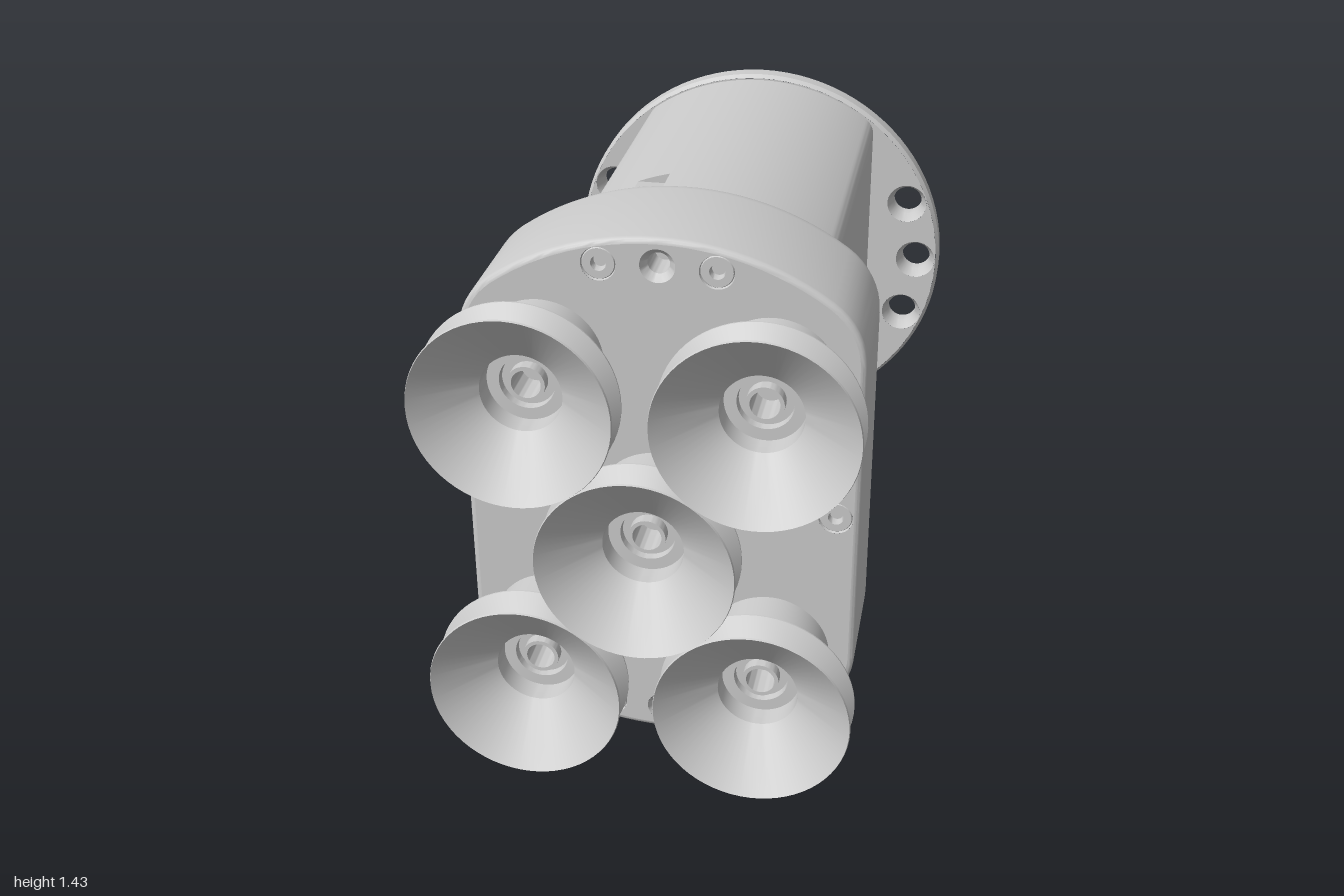
import * as THREE from 'three';
import { toCreasedNormals } from 'three/addons/utils/BufferGeometryUtils.js';

const CY = 0.725;                       // height of the long axis
const R = 0.575, HALF = 0.36, F = 0.06; // body arc radius, half width, corner fillet
const FX = HALF - F, FY = Math.sqrt((R - F) ** 2 - FX ** 2), PT = Math.atan2(FY, FX);
// angular limits of the connector recess on top
const A1 = Math.PI / 2 + Math.asin(0.13 / R), A2 = Math.PI / 2 + Math.asin(0.22 / R);

const grey = new THREE.MeshStandardMaterial({ color: 0xcccccc });
const greyDouble = new THREE.MeshStandardMaterial({ color: 0xcccccc, side: THREE.DoubleSide });

function add(parent, name, geometry, x = 0, y = 0, z = 0, material = grey) {
  const mesh = new THREE.Mesh(geometry, material);
  mesh.name = name;
  mesh.position.set(x, y, z);
  parent.add(mesh);
  return mesh;
}

// Turned part around z, profile as [radius, z]
function turned(profile, segments = 48) {
  const pts = profile.map(([r, z]) => new THREE.Vector2(r, z));
  return toCreasedNormals(new THREE.LatheGeometry(pts, segments).rotateX(Math.PI / 2), 0.5);
}

// Flat plate face with round holes, holes as [x, y, r]
function face(shape, holes) {
  for (const [x, y, r] of holes) shape.holes.push(new THREE.Path().absarc(x, y, r, 0, Math.PI * 2, true));
  return new THREE.ShapeGeometry(shape, 32);
}

// Outline angles: fillets, crowned top and bottom, flat sides between
function outlineAngles() {
  const top = [A1, A2];
  for (let i = 0; i <= 8; i++) top.push(PT * i / 8, Math.PI - PT * i / 8);
  for (let i = 1; i < 24; i++) top.push(PT + (Math.PI - 2 * PT) * i / 24);
  top.sort((a, b) => a - b);
  return [...top.map(a => [a, 1]), ...top.map(a => [a + Math.PI, -1])];
}

// Point of the outline grown outward by o
function outlinePoint([a, side], o) {
  const b = side > 0 ? a : a - Math.PI;
  let cx = 0, cy = 0, r = R + o;
  if (b < PT - 1e-6) { cx = FX * side; cy = FY * side; r = F + o; }
  else if (b > Math.PI - PT + 1e-6) { cx = -FX * side; cy = FY * side; r = F + o; }
  return [cx + r * Math.cos(a), cy + r * Math.sin(a)];
}

// Housing skin: one outline swept through [offset, z] rows
function housing(angles) {
  const rows = [[0, -0.93], [0, -0.13], [0, 0.10]];
  for (let i = 0; i <= 8; i++) {
    const t = Math.PI / 2 * i / 8;
    rows.push([0.07 - 0.07 * Math.cos(t), 0.21 + 0.07 * Math.sin(t)]);
  }
  for (let i = 1; i <= 8; i++) {
    const t = Math.PI / 2 * i / 8;
    rows.push([0.07 + 0.07 * Math.sin(t), 0.35 - 0.07 * Math.cos(t)]);
  }
  for (let i = 0; i <= 4; i++) {
    const t = Math.PI / 2 * i / 4;
    rows.push([0.125 + 0.015 * Math.cos(t), 0.65 + 0.015 * Math.sin(t)]);
  }
  const pos = [], idx = [], n = angles.length;
  for (const [o, z] of rows) for (const a of angles) pos.push(...outlinePoint(a, o), z);
  for (let j = 0; j < rows.length - 1; j++) {
    for (let i = 0; i < n; i++) {
      const k = (i + 1) % n, mid = (angles[i][0] + angles[k][0]) / 2;
      if (j === 1 && k > i && mid > A1 && mid < A2) continue; // connector opening
      const a = j * n + i, b = j * n + k;
      idx.push(a, b, b + n, a, b + n, a + n);
    }
  }
  const g = new THREE.BufferGeometry();
  g.setAttribute('position', new THREE.Float32BufferAttribute(pos, 3));
  g.setIndex(idx);
  return toCreasedNormals(g, 0.5);
}

// Flush screw head with a socket
function screw(r) {
  return turned([[r, 0], [r * 0.95, -0.006], [r * 0.9, -0.003], [r * 0.45, -0.003],
    [r * 0.38, -0.025], [0, -0.025]], 32);
}

export function createModel() {
  const model = new THREE.Group();
  model.name = 'vacuumGripper';
  const g = new THREE.Group();
  g.name = 'gripperAssembly';
  g.position.y = CY;
  model.add(g);

  // Housing and front plate
  const angles = outlineAngles();
  add(g, 'housing', housing(angles));
  const frontScrews = [[-0.44, 0], [0.44, 0]];
  const ports = [];
  for (const s of [-1, 1]) {
    frontScrews.push([-0.142, 0.64 * s], [0.142, 0.64 * s]);
    ports.push([0, 0.645 * s]);
  }
  const plate = new THREE.Shape(angles.map(a => new THREE.Vector2(...outlinePoint(a, 0.125))));
  add(g, 'frontPlate', face(plate, [...frontScrews, ...ports].map(([x, y]) => [x, y, 0.043])), 0, 0, 0.665);
  for (const [x, y] of frontScrews) add(g, 'frontScrew', screw(0.043), x, y, 0.665);
  for (const [x, y] of ports) {
    add(g, 'frontPort', turned([[0.043, 0], [0.027, -0.02], [0.027, -0.1], [0, -0.1]], 32), x, y, 0.665);
  }

  // Connector recess with two pins
  const floor = R * Math.sin(A2);
  add(g, 'connectorFloor', new THREE.BoxGeometry(0.09, 0.02, 0.23), -0.175, floor - 0.01, -0.015);
  add(g, 'connectorWall', new THREE.BoxGeometry(0.01, 0.05, 0.23), -0.125, floor + 0.003, -0.015);
  const end = new THREE.Shape().moveTo(-0.13, floor);
  end.absarc(0, 0, R, A1, A2, false);
  for (const z of [-0.13, 0.10]) add(g, 'connectorEnd', new THREE.ShapeGeometry(end), 0, 0, z, greyDouble);
  for (const z of [-0.08, 0.05]) {
    add(g, 'connectorPin', new THREE.CylinderGeometry(0.025, 0.025, 0.02, 24), -0.18, floor, z);
  }

  // Rear flange with countersunk mounting holes
  const mounts = [];
  for (const s of [-1, 1]) for (const a of [-0.38, 0, 0.38]) {
    mounts.push([0.515 * s * Math.cos(a), 0.515 * Math.sin(a)]);
  }
  const rearScrews = [];
  for (const x of [-0.157, 0.157]) for (const y of [-0.32, 0.32]) rearScrews.push([x, y]);
  const disc = r => new THREE.Shape().absarc(0, 0, r, 0, Math.PI * 2, false);
  add(g, 'flangeRim', turned([[0.577, -1], [0.59, -0.987], [0.59, -0.942], [0.58, -0.93]], 96));
  add(g, 'flangeFront', face(disc(0.58), mounts.map(([x, y]) => [x, y, 0.062])), 0, 0, -0.93);
  const backHoles = [...mounts.map(([x, y]) => [x, y, 0.045]), ...rearScrews.map(([x, y]) => [x, y, 0.073])];
  add(g, 'flangeBack', face(disc(0.577), backHoles).rotateY(Math.PI), 0, 0, -1);
  for (const [x, y] of mounts) {
    add(g, 'mountingHole', turned([[0.062, -0.93], [0.045, -0.965], [0.045, -1]], 32), x, y);
  }
  for (const [x, y] of rearScrews) add(g, 'rearScrew', screw(0.073).rotateY(Math.PI), x, y, -1);

  // Five bellows suction cups with their fittings
  const cup = turned([[0.138, 0.66], [0.138, 0.69], [0.155, 0.69], [0.155, 0.862], [0.185, 0.862],
    [0.243, 0.89], [0.243, 0.894], [0.188, 0.936], [0.243, 0.985], [0.241, 0.99],
    [0.1, 0.875], [0.098, 0.82], [0.068, 0.82], [0.066, 0.80], [0.046, 0.80],
    [0.046, 0.83], [0.036, 0.83], [0.036, 0.74], [0, 0.74]], 64);
  const centres = [[0, 0]];
  for (const x of [-0.283, 0.283]) for (const y of [-0.393, 0.393]) centres.push([x, y]);
  for (const [x, y] of centres) add(g, 'suctionCup', cup, x, y);

  return model;
}
